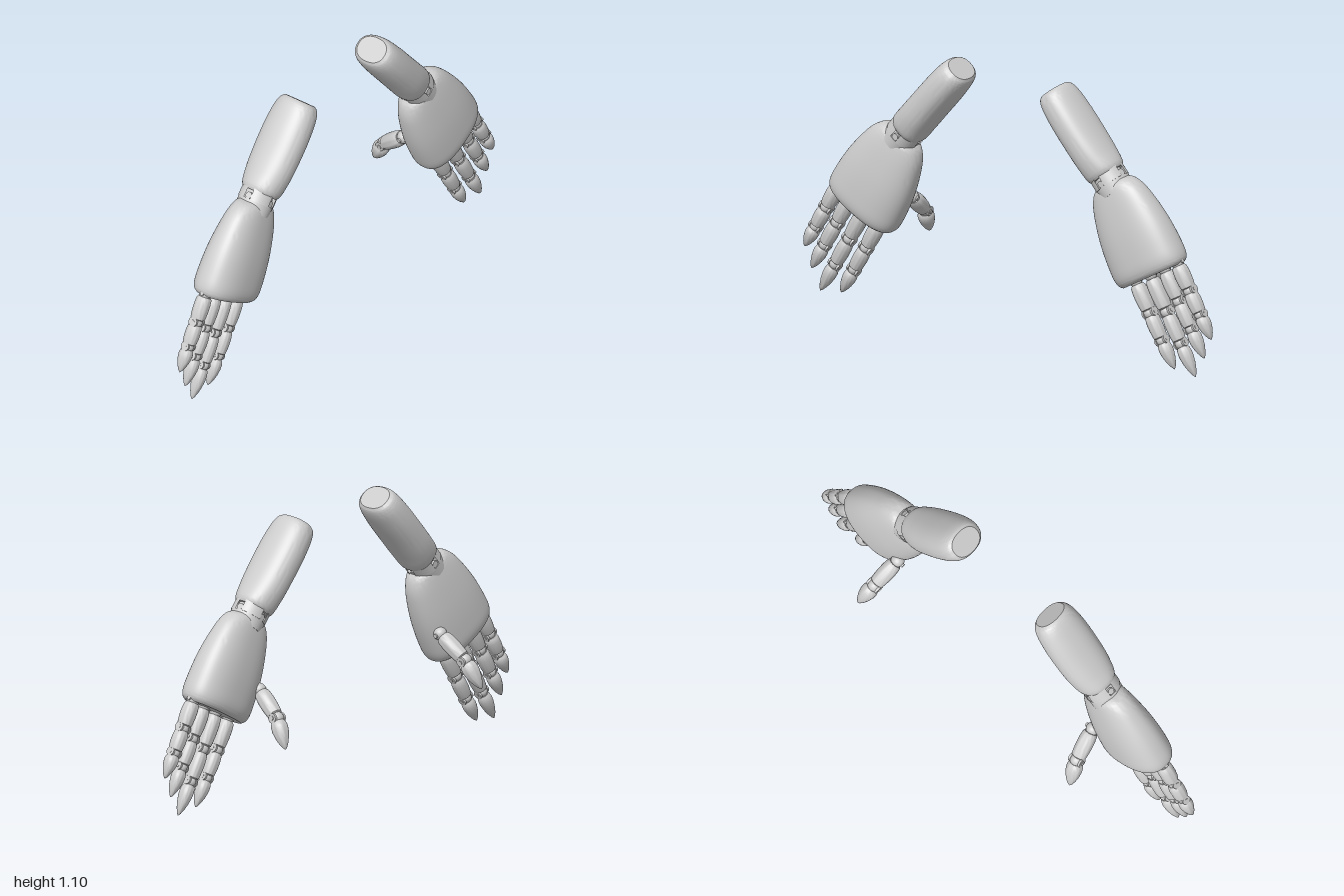
import * as THREE from 'three';
import { mergeVertices, toCreasedNormals } from 'three/addons/utils/BufferGeometryUtils.js';

const material = new THREE.MeshStandardMaterial({ color: 0xcccccc, roughness: 0.7 });
const DEG = Math.PI / 180;
const DEPTH = 0.08; // z of the arm's centre plane

function add(parent, name, geometry, x = 0, y = 0, z = 0) {
  const mesh = new THREE.Mesh(geometry, material);
  mesh.name = name;
  mesh.position.set(x, y, z);
  parent.add(mesh);
  return mesh;
}

// Closed superellipse loft; stations are [distance down, half width, half depth]
function loft(stations, power) {
  const curve = new THREE.CatmullRomCurve3(stations.map(s => new THREE.Vector3(...s)));
  const rows = curve.getPoints(36).reverse();
  rows.unshift(new THREE.Vector3(rows[0].x, 0, 0));
  rows.push(new THREE.Vector3(rows[rows.length - 1].x, 0, 0));
  let g = new THREE.LatheGeometry(rows.map(r => new THREE.Vector2(1, -r.x)), 56);
  const p = g.attributes.position;
  const bend = c => Math.sign(c) * Math.abs(c) ** (2 / power);
  for (let i = 0; i < p.count; i++) {
    const r = rows[i % rows.length];
    p.setXYZ(i, r.y * bend(p.getX(i)), -r.x, r.z * bend(p.getZ(i)));
  }
  g.deleteAttribute('uv');
  g.deleteAttribute('normal');
  g = mergeVertices(g, 1e-5);
  return toCreasedNormals(g, 0.6);
}

// Lathe hanging down from y = 0; profile is [radius, distance down], top first
function turned(profile, segments = 28) {
  const points = profile.map(([r, d]) => new THREE.Vector2(r, -d)).reverse();
  return toCreasedNormals(new THREE.LatheGeometry(points, segments), 0.7);
}

const acrossX = g => g.rotateZ(Math.PI / 2);

// One phalanx: hinge ball and pin at the top, body below
function phalanx(length, R, isTip) {
  const group = new THREE.Group();
  group.name = isTip ? 'fingertip' : 'phalanx';
  add(group, 'knuckleBall', new THREE.SphereGeometry(R * 0.8, 24, 16));
  add(group, 'hingePin', acrossX(new THREE.CylinderGeometry(R * 0.26, R * 0.26, R * 1.9, 16)));
  const body = isTip
    ? [[0, 0.1], [0.72, 0.1], [0.9, 0.16], [1, 0.28], [0.97, 0.42], [0.82, 0.6], [0.57, 0.78], [0.28, 0.92], [0, 1]]
    : [[0, 0.11], [0.76, 0.11], [0.92, 0.18], [1, 0.36], [1, 0.58], [0.94, 0.78], [0.88, 0.88], [0.7, 0.91], [0, 0.91]];
  add(group, 'body', turned(body.map(([r, d]) => [r * R, d * length])));
  if (!isTip) {
    // Fork cheeks holding the next hinge
    for (const s of [-1, 1]) {
      add(group, 'forkCheek',
        acrossX(new THREE.CylinderGeometry(R * 0.6, R * 0.6, R * 0.26, 20)), s * R * 0.72, -length, 0);
    }
  }
  return group;
}

// Straight finger of three phalanges ending at tipU along the hand
function finger(name, v, tipU, length) {
  const group = new THREE.Group();
  group.name = name;
  group.position.set(v, length - tipU, 0);
  let y = 0;
  [[0.36, 0.033], [0.31, 0.031], [0.33, 0.029]].forEach(([share, R], i) => {
    const part = phalanx(share * length, R, i === 2);
    part.position.y = y;
    y -= share * length;
    group.add(part);
  });
  return group;
}

// Thumb bent backwards out of the palm face
function thumb(side) {
  const group = new THREE.Group();
  group.name = 'thumb';
  const joints = [[0.525, 0.455, 0.005], [0.545, 0.365, -0.11], [0.57, 0.253, -0.18]]
    .map(([x, y, z]) => new THREE.Vector3(side * x, y, z));
  for (let i = 0; i < 2; i++) {
    const dir = joints[i + 1].clone().sub(joints[i]);
    const part = phalanx(dir.length(), 0.034, i === 1);
    part.position.copy(joints[i]);
    part.quaternion.setFromUnitVectors(new THREE.Vector3(0, -1, 0), dir.normalize());
    group.add(part);
  }
  return group;
}

// Notched cuff with a ball core and crossed pins
function wrist() {
  const group = new THREE.Group();
  group.name = 'wrist';
  add(group, 'wristBall', new THREE.SphereGeometry(0.062, 32, 20));
  add(group, 'cuffBand', turned([[0.055, 0.012], [0.073, 0.012], [0.071, 0.055], [0, 0.055]], 40));
  const lug = [[0.055, 0.014], [0.055, -0.04], [0.074, -0.04], [0.075, 0.014], [0.055, 0.014]]
    .map(([r, d]) => new THREE.Vector2(r, -d)).reverse();
  for (let i = 0; i < 4; i++) {
    const g = toCreasedNormals(new THREE.LatheGeometry(lug, 12, i * Math.PI / 2 + 0.2, Math.PI / 2 - 0.4), 0.6);
    add(group, 'cuffLug', g).material = lugMaterial;
  }
  add(group, 'sidePin', acrossX(new THREE.CylinderGeometry(0.014, 0.014, 0.14, 18)));
  add(group, 'frontPin', new THREE.CylinderGeometry(0.014, 0.014, 0.14, 18).rotateX(Math.PI / 2));
  return group;
}
const lugMaterial = material.clone();
lugMaterial.side = THREE.DoubleSide;

function arm(side) {
  const group = new THREE.Group();
  group.name = side > 0 ? 'leftArm' : 'rightArm';

  // Forearm and wrist share the same slant
  const fore = new THREE.Group();
  fore.name = 'forearmAndWrist';
  fore.position.set(side * 0.227, 1.07, DEPTH);
  fore.rotation.z = side * 40.5 * DEG;
  add(fore, 'forearm', loft([
    [0, 0.052, 0.066], [0.012, 0.061, 0.08], [0.04, 0.068, 0.091], [0.12, 0.073, 0.1],
    [0.24, 0.074, 0.1], [0.32, 0.075, 0.094], [0.385, 0.075, 0.08], [0.4, 0.068, 0.07],
  ], 2.3));
  const joint = wrist();
  joint.position.y = -0.425;
  fore.add(joint);
  group.add(fore);

  // Palm and fingers in the hand's own slant
  const hand = new THREE.Group();
  hand.name = 'hand';
  hand.position.set(side * 0.521, 0.727, DEPTH);
  hand.rotation.z = side * 30 * DEG;
  add(hand, 'palm', loft([
    [-0.015, 0.072, 0.05], [0, 0.097, 0.061], [0.04, 0.125, 0.071], [0.11, 0.148, 0.083],
    [0.2, 0.166, 0.094], [0.29, 0.174, 0.099], [0.35, 0.174, 0.098], [0.375, 0.167, 0.09],
    [0.388, 0.153, 0.077],
  ], 2.4));
  [
    ['littleFinger', 0.134, 0.716, 0.335], ['ringFinger', 0.062, 0.773, 0.392],
    ['middleFinger', -0.018, 0.826, 0.445], ['indexFinger', -0.1, 0.764, 0.384],
  ].forEach(([name, v, u, length]) => hand.add(finger(name, side * v, u, length)));
  group.add(hand);

  group.add(thumb(side));
  return group;
}

export function createModel() {
  const model = new THREE.Group();
  model.name = 'mannequinHands';
  model.add(arm(1), arm(-1));
  return model;
}
